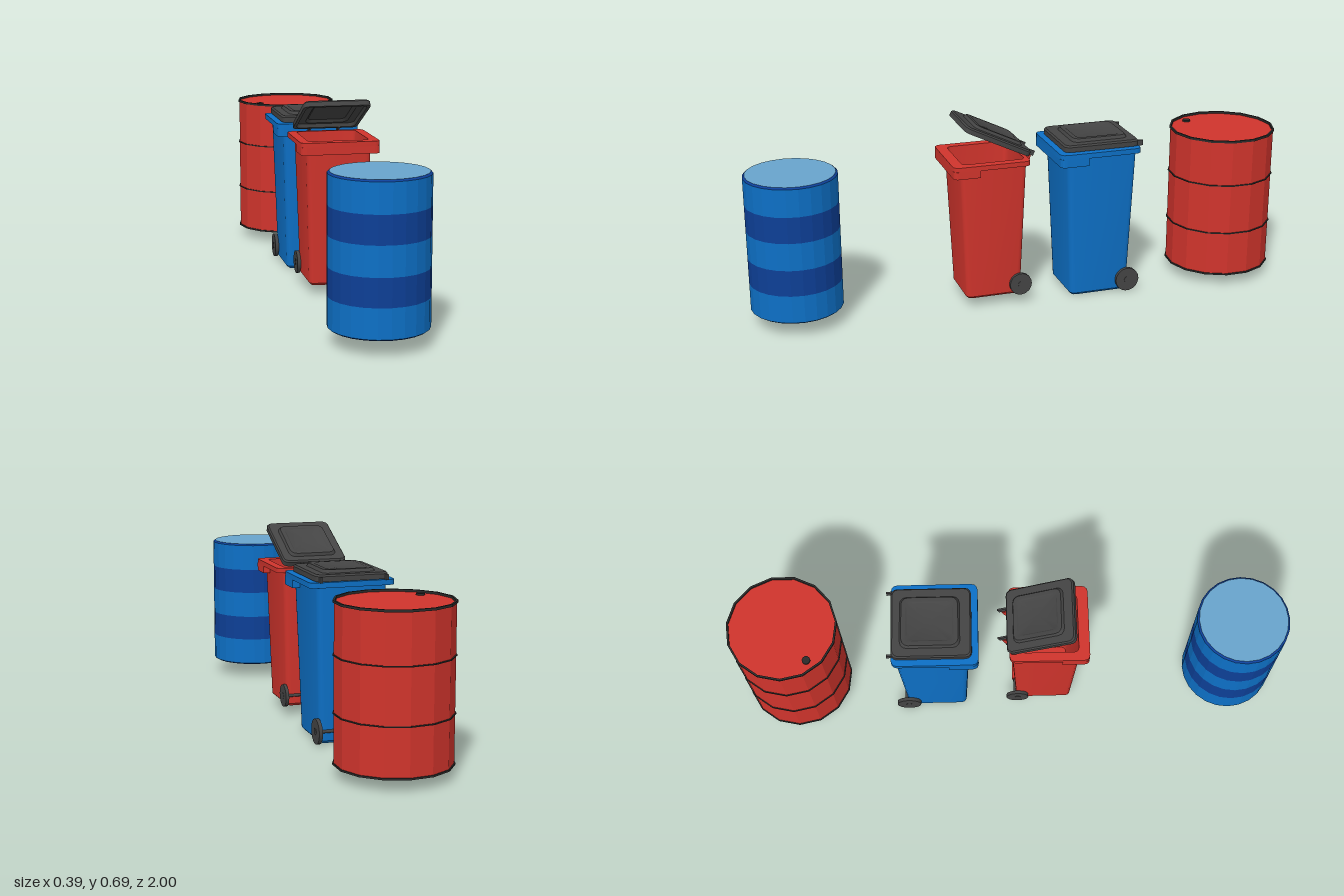
import * as THREE from 'three';
import { toCreasedNormals } from 'three/addons/utils/BufferGeometryUtils.js';

const mat = (name, color) => {
  const m = new THREE.MeshStandardMaterial({ color });
  m.name = name;
  return m;
};

// Outline of a rounded rectangle in x/z, going from +x towards +z
function roundedLoop(hw, front, back, r, steps = 3) {
  const pts = [];
  const corners = [[hw - r, front - r], [-hw + r, front - r], [-hw + r, back + r], [hw - r, back + r]];
  corners.forEach(([cx, cz], k) => {
    for (let i = 0; i <= steps; i++) {
      const a = (k + i / steps) * Math.PI / 2;
      pts.push([cx + r * Math.cos(a), cz + r * Math.sin(a)]);
    }
  });
  return pts;
}

// Skin through rounded rectangles [y, halfWidth, front, back, radius], capped at both ends
function loft(sections) {
  const loops = sections.map(([y, hw, f, b, r]) => roundedLoop(hw, f, b, r).map(([x, z]) => [x, y, z]));
  const n = loops[0].length;
  const pos = loops.flat(2);
  const index = [];
  for (let i = 0; i < loops.length - 1; i++) {
    for (let j = 0; j < n; j++) {
      const a = i * n + j, b = i * n + (j + 1) % n, c = b + n, d = a + n;
      index.push(a, d, b, b, d, c);
    }
  }
  const first = loops.length * n, last = (loops.length - 1) * n;
  for (const [y, , f, b] of [sections[0], sections[sections.length - 1]]) pos.push(0, y, (f + b) / 2);
  for (let j = 0; j < n; j++) {
    const k = (j + 1) % n;
    index.push(first, j, k, first + 1, last + k, last + j);
  }
  const g = new THREE.BufferGeometry();
  g.setAttribute('position', new THREE.Float32BufferAttribute(pos, 3));
  g.setIndex(index);
  return toCreasedNormals(g, 0.6);
}

function add(parent, name, geometry, material, x = 0, y = 0, z = 0) {
  const m = new THREE.Mesh(geometry, material);
  m.name = name;
  m.position.set(x, y, z);
  parent.add(m);
  return m;
}

function lathe(points, sides) {
  const g = new THREE.LatheGeometry(points.map(([x, y]) => new THREE.Vector2(x, y)), sides, -Math.PI / 2);
  return toCreasedNormals(g, 0.1);
}

export function createModel() {
  const root = new THREE.Group();
  const red = mat('red', 0xd0342c);
  const blue = mat('blue', 0x0d70c6);
  const navy = mat('navy', 0x0d3f96);
  const pale = mat('paleBlue', 0x68a4cc);
  const charcoal = mat('charcoal', 0x444444);
  const black = mat('black', 0x2a2a2a);

  // Wheeled bin, standing on y = 0 and centred on its rim
  function wheeledBin(name, body, openAngle) {
    const bin = new THREE.Group();
    bin.name = name;
    root.add(bin);

    // Hollow tapered tub with a flange round the mouth
    add(bin, 'tub', loft([
      [0, 0.1, 0.09, -0.116, 0.015],
      [0.01, 0.11, 0.099, -0.125, 0.02],
      [0.548, 0.126, 0.122, -0.145, 0.02],
      [0.548, 0.153, 0.155, -0.153, 0.022],
      [0.567, 0.153, 0.155, -0.153, 0.022],
      [0.567, 0.118, 0.113, -0.137, 0.018],
      [0.02, 0.1, 0.089, -0.115, 0.018],
    ]), body);

    // Deep skirt under the front half of the flange
    const u = new THREE.Shape();
    const o = 0.153, f = 0.155, r = 0.022, i = 0.122, e = 0.05;
    u.moveTo(-o, e);
    u.lineTo(-i, e);
    u.lineTo(-i, 0.118);
    u.lineTo(i, 0.118);
    u.lineTo(i, e);
    u.lineTo(o, e);
    u.lineTo(o, f - r);
    u.quadraticCurveTo(o, f, o - r, f);
    u.lineTo(-o + r, f);
    u.quadraticCurveTo(-o, f, -o, f - r);
    const skirt = new THREE.ExtrudeGeometry(u, { depth: 0.03, bevelEnabled: false, curveSegments: 4 });
    skirt.rotateX(Math.PI / 2);
    add(bin, 'rimSkirt', skirt, body, 0, 0.55, 0);

    // Lid, pivoting on the rear hinge line
    const lid = new THREE.Group();
    lid.name = 'lid';
    lid.position.set(0, 0.565, -0.165);
    lid.rotation.x = -openAngle;
    bin.add(lid);
    add(lid, 'lidPanel', loft([
      [0.028, 0.074, 0.235, 0.055, 0.02],
      [0.018, 0.085, 0.25, 0.045, 0.025],
      [0.018, 0.114, 0.278, 0.032, 0.02],
      [0.004, 0.118, 0.284, 0.027, 0.02],
      [0.004, 0.13, 0.297, 0.013, 0.022],
      [0.022, 0.13, 0.297, 0.013, 0.022],
      [0.028, 0.125, 0.292, 0.018, 0.02],
      [0.028, 0.096, 0.256, 0.044, 0.025],
      [0.039, 0.09, 0.25, 0.05, 0.025],
      [0.039, 0.074, 0.234, 0.066, 0.02],
      [0.036, 0.07, 0.23, 0.07, 0.02],
    ]), charcoal);

    for (const s of [-1, 1]) {
      const hx = s * (openAngle ? 0.058 : 0.118);
      add(lid, 'hingeArm', new THREE.BoxGeometry(0.007, 0.02, 0.05), charcoal, hx, 0.012, openAngle ? 0 : 0.022);
      if (openAngle) {
        // Triangular hinge bracket on the back wall
        const fin = new THREE.Shape([[-0.14, 0.56], [-0.18, 0.56], [-0.172, 0.535], [-0.14, 0.49]]
          .map(([z, y]) => new THREE.Vector2(-z, y)));
        const g = new THREE.ExtrudeGeometry(fin, { depth: 0.01, bevelEnabled: false });
        g.rotateY(Math.PI / 2);
        add(bin, 'hingeBracket', g, body, hx - 0.005, 0, 0);
      }
      // Wheel with a small hub
      const wheel = new THREE.CylinderGeometry(0.045, 0.045, 0.013, 18);
      wheel.rotateZ(Math.PI / 2);
      add(bin, 'wheel', toCreasedNormals(wheel, 0.6), charcoal, s * 0.1185, 0.045, -0.12);
      const hub = new THREE.CylinderGeometry(0.012, 0.012, 0.016, 10);
      hub.rotateZ(Math.PI / 2);
      add(bin, 'hub', hub, charcoal, s * 0.1185, 0.045, -0.12);
    }
    const axle = new THREE.CylinderGeometry(0.006, 0.006, 0.226, 8);
    axle.rotateZ(Math.PI / 2);
    add(bin, 'axle', axle, charcoal, 0, 0.045, -0.13);
    add(bin, 'axleClip', new THREE.BoxGeometry(0.09, 0.018, 0.02), body, 0, 0.045, -0.13);
    return bin;
  }

  wheeledBin('blueBin', blue, 0).position.z = -0.265;
  const redBin = wheeledBin('redBin', red, 0.45);
  redBin.scale.setScalar(0.92);
  redBin.position.set(0, 0.035, 0.14);

  // Plastic barrel with two dark bands
  const plastic = new THREE.Group();
  plastic.name = 'blueBarrel';
  plastic.position.z = 0.833;
  root.add(plastic);
  const levels = [0.06, 0.16, 0.255, 0.355, 0.45, 0.55];
  for (let i = 0; i < 5; i++) {
    add(plastic, i % 2 ? 'darkBand' : 'barrelWall',
      lathe([[0.165, levels[i]], [0.165, levels[i + 1]]], 24), i % 2 ? navy : blue);
  }
  add(plastic, 'bottomEdge', lathe([[0.158, 0.055], [0.165, 0.06]], 24), navy);
  add(plastic, 'topEdge', lathe([[0.165, 0.55], [0.158, 0.556]], 24), navy);
  for (const s of [-1, 1]) {
    const disc = new THREE.CircleGeometry(0.158, 24);
    disc.rotateX(-s * Math.PI / 2);
    add(plastic, s > 0 ? 'barrelTop' : 'barrelBottom', disc, pale, 0, s > 0 ? 0.556 : 0.055, 0);
  }

  // Steel drum with dark hoops, top bung and dark base
  const drum = new THREE.Group();
  drum.name = 'redDrum';
  drum.position.z = -0.804;
  root.add(drum);
  add(drum, 'drumWall', lathe([[0.193, 0.042], [0.193, 0.562], [0, 0.562]], 15), red);
  add(drum, 'drumBase', lathe([[0, 0.041], [0.193, 0.041]], 15), black);
  const hoop = (name, y, h, inner) => add(drum, name, lathe(
    [[inner, y], [0.197, y], [0.197, y + h], [inner, y + h], [inner, y]], 15), black);
  hoop('bottomHoop', 0.039, 0.006, 0.185);
  hoop('lowerHoop', 0.205, 0.004, 0.185);
  hoop('upperHoop', 0.393, 0.004, 0.185);
  hoop('topHoop', 0.562, 0.008, 0.19);
  add(drum, 'bung', new THREE.CylinderGeometry(0.015, 0.015, 0.006, 10), black, -0.122, 0.565, 0.09);

  return root;
}
